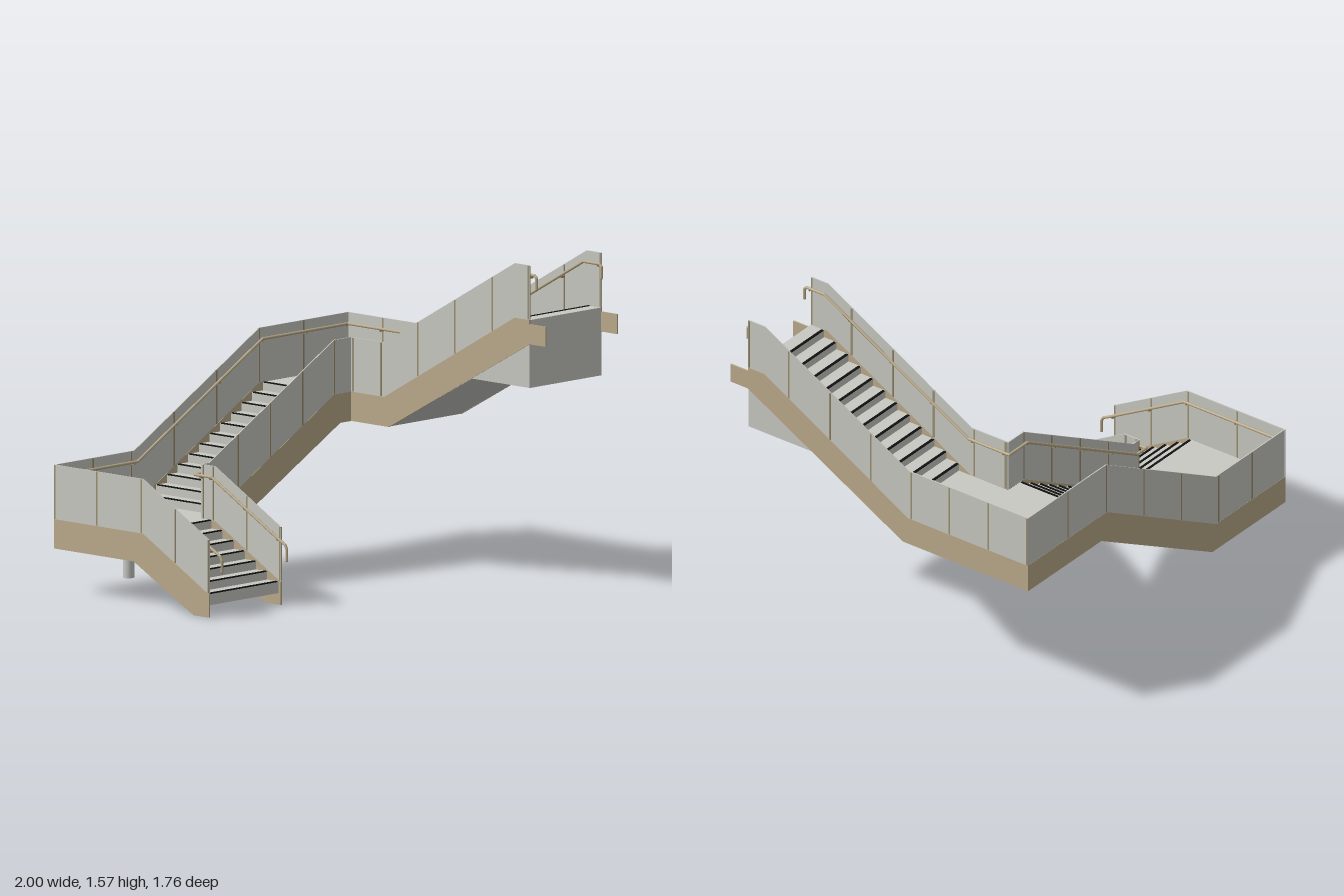
import * as THREE from 'three';

const mat = (name, color) => Object.assign(new THREE.MeshStandardMaterial({ color }), { name });

// Interpolated height of a polyline [[u, y], ...] with rising u
function heightAt(line, u) {
  for (let i = 1; i < line.length; i++) {
    const [a, ya] = line[i - 1], [b, yb] = line[i];
    if (u <= b) return ya + (yb - ya) * (u - a) / (b - a);
  }
  return line[line.length - 1][1];
}

// Part of a polyline between two positions
const clip = (line, a, b) => [
  [a, heightAt(line, a)],
  ...line.filter(([u]) => u > a + 1e-4 && u < b - 1e-4),
  [b, heightAt(line, b)],
];

const raise = (line, dy) => line.map(([u, y]) => [u, y + dy]);

export function createModel() {
  const model = new THREE.Group();
  model.name = 'staircase';
  const grey = mat('pale grey', 0xc9c9c3);
  const tan = mat('tan', 0xbcab8b);
  const bronze = mat('bronze', 0x9c8e70);
  const black = mat('black', 0x111111);

  const add = (name, geometry, material, parent = model) => {
    const mesh = new THREE.Mesh(geometry, material);
    mesh.name = name;
    parent.add(mesh);
    return mesh;
  };

  // Outline in (u, y) extruded across from c0 to c1; u runs along 'x' or 'z'
  const slab = (name, pts, axis, c0, c1, material, parent) => {
    const shape = new THREE.Shape(pts.map(([u, y]) => new THREE.Vector2(u, y)));
    const g = new THREE.ExtrudeGeometry(shape, { depth: c1 - c0, bevelEnabled: false });
    if (axis === 'z') g.rotateY(-Math.PI / 2).translate(c1, 0, 0);
    else g.translate(0, 0, c0);
    return add(name, g, material, parent);
  };

  // Box given along / up / across the chosen axis
  const block = (name, axis, u, y, c, du, dy, dc, material, parent) => {
    const g = axis === 'z' ? new THREE.BoxGeometry(dc, dy, du) : new THREE.BoxGeometry(du, dy, dc);
    const mesh = add(name, g, material, parent);
    if (axis === 'z') mesh.position.set(c, y, u);
    else mesh.position.set(u, y, c);
  };

  // Edge lines of the three flights
  const lower = {
    axis: 'z',
    top: [[-0.88, 0.35], [-0.30, 0.35], [0.13, 0.11]],
    bottom: [[-0.88, 0.21], [-0.36, 0.21], [0.03, 0], [0.13, 0]],
  };
  const middle = {
    axis: 'x',
    top: [[-1, 0.35], [-0.46, 0.35], [0.39, 0.83], [1, 0.83]],
    bottom: [[-1, 0.21], [-0.43, 0.21], [0.43, 0.69], [1, 0.69]],
  };
  const upper = {
    axis: 'z',
    top: [[-0.88, 0.83], [-0.17, 0.83], [0.68, 1.31], [0.775, 1.31]],
    bottom: [[-0.88, 0.69], [-0.14, 0.69], [0.775, 1.193]],
  };

  // Stair bodies: stepped top, smooth soffit, black nosing strips
  const stair = (name, axis, first, run, count, y0, bottom, end, c0, c1) => {
    const group = new THREE.Group();
    group.name = name;
    model.add(group);
    const steps = [];
    let y = bottom[0][1];
    const dir = Math.sign(run);
    for (let i = 0; i < count; i++) {
      const u = first + run * i;
      steps.push([u, y]);
      y = y0 + 0.04 * i - 0.001;
      steps.push([u, y]);
      block('nosing', axis, u + dir * 0.005, y, (c0 + c1) / 2, 0.012, 0.005, c1 - c0 - 0.02, black, group);
    }
    steps.push([end, y]);
    slab('steps', [...steps, ...bottom.slice().reverse()], axis, c0, c1, grey, group);
  };
  stair('lowerFlight', 'z', 0.115, -0.0725, 7, 0.112,
    [[0.114, 0.055], [-0.07, 0.055], [-0.36, 0.212], [-0.878, 0.212]], -0.878, -0.997, -0.508);
  stair('middleFlight', 'x', -0.385, 0.0725, 12, 0.39,
    [[-0.508, 0.349], [-0.508, 0.212], [-0.43, 0.212], [0.43, 0.692], [0.508, 0.692]], 0.508, -0.877, -0.388);
  stair('upperFlight', 'z', -0.1, 0.0725, 12, 0.87,
    [[-0.878, 0.829], [-0.878, 0.692], [-0.14, 0.692], [0.4, 0.985], [0.775, 0.985]], 0.775, 0.508, 0.997);

  // Stringer, parapet panel, posts and rail brackets of one side
  const side = (name, flight, pos, inward, a, b, posts) => {
    const group = new THREE.Group();
    group.name = name;
    model.add(group);
    const { axis } = flight;
    const top = clip(flight.top, a, b), bottom = clip(flight.bottom, a, b);
    slab('stringer', [...bottom, ...top.slice().reverse()], axis, pos - 0.004, pos + 0.004, tan, group);
    slab('panel', [...top, ...raise(top, 0.26).reverse()], axis, pos - 0.003, pos + 0.003, grey, group);
    for (const u of posts) {
      const y = heightAt(flight.top, u);
      block('post', axis, u, y + 0.13, pos, 0.009, 0.256, 0.009, bronze, group);
      block('railBracket', axis, u, y + 0.2, pos + inward * 0.013, 0.008, 0.008, 0.026, bronze, group);
    }
  };
  side('lowerOuterSide', lower, -0.996, 1, -0.88, 0.13, [-0.873, -0.6, -0.31, -0.09, 0.125]);
  side('lowerInnerSide', lower, -0.508, -1, -0.388, 0.13, [-0.375, -0.31, -0.09, 0.125]);
  side('middleBackSide', middle, -0.876, 1, -1, 1, [-0.74, -0.48, -0.19, 0.1, 0.39, 0.69]);
  side('middleFrontSide', middle, -0.388, -1, -0.508, 0.508, [-0.5, -0.265, -0.045, 0.175, 0.39]);
  side('upperOuterSide', upper, 0.996, -1, -0.88, 0.775,
    [-0.873, -0.645, -0.415, -0.19, 0.05, 0.29, 0.535, 0.77]);
  side('upperInnerSide', upper, 0.508, 1, -0.388, 0.775, [-0.375, -0.19, 0.05, 0.29, 0.535, 0.77]);

  // Stringer tongues past the top step
  for (const x of [0.508, 0.996]) block('stringerTongue', 'z', 0.827, 1.242, x, 0.106, 0.095, 0.008, tan);

  // Handrails: straight rods with ball joints and hooked ends
  const rail = (name, x, z) => {
    const group = new THREE.Group();
    group.name = name;
    model.add(group);
    const pts = [
      [-x, 0.22, 0.188], [-x, 0.275, 0.188], [-x, 0.295, 0.178], [-x, 0.32, 0.13], [-x, 0.56, -0.3],
      [-x, 0.56, z], [-0.46, 0.56, z], [0.39, 1.04, z], [x, 1.04, z],
      [x, 1.04, -0.17], [x, 1.52, 0.68], [x, 1.52, 0.785], [x, 1.508, 0.798], [x, 1.455, 0.798],
    ].map((p) => new THREE.Vector3(...p));
    pts.forEach((p, i) => {
      add('joint', new THREE.SphereGeometry(0.007, 10, 8), tan, group).position.copy(p);
      if (!i) return;
      const d = p.clone().sub(pts[i - 1]);
      const rod = add('rod', new THREE.CylinderGeometry(0.007, 0.007, d.length(), 10), tan, group);
      rod.position.copy(p).addScaledVector(d, -0.5);
      rod.quaternion.setFromUnitVectors(new THREE.Vector3(0, 1, 0), d.normalize());
    });
  };
  rail('outerHandrail', 0.972, -0.853);
  rail('innerHandrail', 0.531, -0.411);

  // Column under the lower landing
  add('column', new THREE.CylinderGeometry(0.027, 0.027, 0.145, 24), grey).position.set(-0.75, 0.1425, -0.632);

  return model;
}
